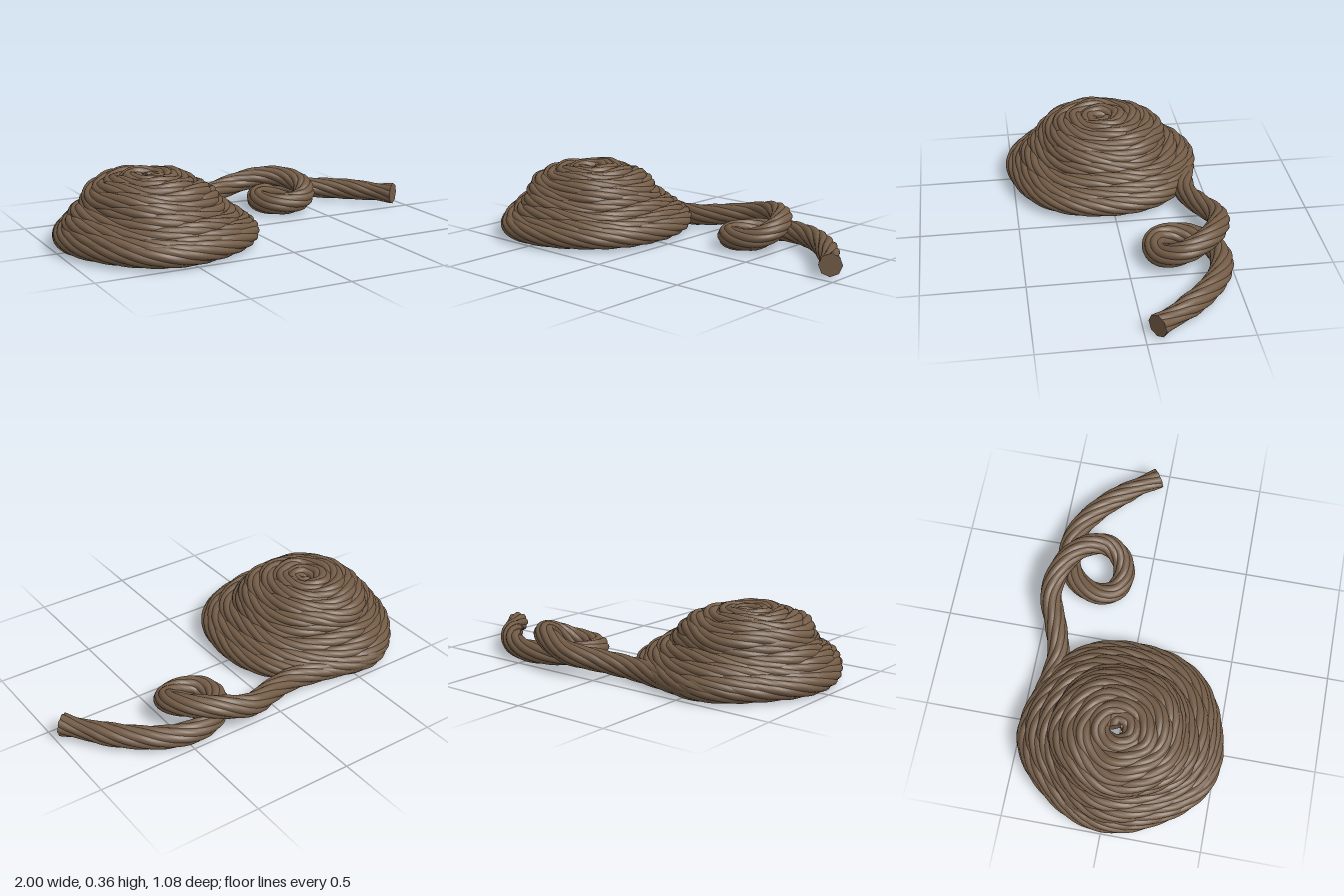
import * as THREE from 'three';
import { mergeGeometries } from 'three/addons/utils/BufferGeometryUtils.js';

const R = 0.057;       // rope radius
const STRANDS = 8;
const PITCH = 0.95;    // rope length per full twist
const STEPS = 1000;

// Rope centre line: a hollow, stepped spiral heap, then a loose tail with one loop
function ropePath() {
  // [radius, height, centre x] of the coil after each turn, from the top centre outwards
  const turns = [[0.03, 0.285, -0.525], [0.095, 0.303, -0.545], [0.165, 0.292, -0.55],
    [0.225, 0.27, -0.54], [0.275, 0.235, -0.535], [0.285, 0.195, -0.53], [0.345, 0.145, -0.52],
    [0.395, 0.108, -0.505], [0.435, 0.068, -0.498], [0.443, 0.057, -0.495]];
  const last = turns.length - 1, perTurn = 20, points = [];
  for (let i = 0; i <= last * perTurn; i++) {
    const t = i / perTurn, k = Math.min(Math.floor(t), last - 1);
    const [radius, height, cx] = turns[k].map((v, n) => THREE.MathUtils.lerp(v, turns[k + 1][n], t - k));
    const angle = 2 * Math.PI * (t - last) - 1.78;
    const loose = Math.min(1, (last - t) / 2) * Math.min(1, t / 3);
    // slightly five-cornered outline, with loosely laid upper turns
    const r = radius * (1 + 0.02 * Math.cos(5 * (angle + 1.83)) + 0.02 * loose * Math.sin(3 * angle + 1.7 * t));
    const y = height + 0.008 * loose * Math.sin(4 * angle + 1.3 * t);
    points.push(new THREE.Vector3(cx + r * Math.cos(angle), y, 0.015 + 1.05 * r * Math.sin(angle)));
  }
  const tail = [
    [-0.36, 0.057, -0.41], [-0.15, 0.062, -0.385], [0, 0.08, -0.425], [0.17, 0.105, -0.485],
    [0.33, 0.14, -0.45], [0.44, 0.143, -0.365], [0.485, 0.115, -0.25], [0.44, 0.075, -0.165],
    [0.35, 0.06, -0.135], [0.26, 0.057, -0.165], [0.228, 0.057, -0.25], [0.27, 0.057, -0.36],
    [0.36, 0.057, -0.425], [0.47, 0.057, -0.447], [0.6, 0.057, -0.41], [0.74, 0.058, -0.31],
    [0.85, 0.059, -0.19], [0.95, 0.06, -0.055]];
  tail.forEach((p) => points.push(new THREE.Vector3(...p)));
  const curve = new THREE.CatmullRomCurve3(points, false, 'centripetal');
  curve.arcLengthDivisions = 3000;
  return curve;
}

// One rounded strand strip winding around the centre line
function strandGeometry(frames, step, strand) {
  const cols = 4, positions = [], indices = [];
  frames.forEach(({ p, up, side }, i) => {
    // narrow neck just before the flared outer end
    const neck = 1 - 0.14 * Math.sin(Math.PI * Math.min(1, (STEPS - i) * step / 0.2));
    for (let j = 0; j <= cols; j++) {
      const u = j / cols - 0.5;
      const a = ((strand + u) / STRANDS + (i * step) / PITCH) * 2 * Math.PI;
      const r = R * neck * (0.87 + 0.13 * Math.cos(Math.PI * u));
      const v = p.clone().addScaledVector(up, r * Math.cos(a)).addScaledVector(side, r * Math.sin(a));
      positions.push(v.x, v.y, v.z);
      if (i > 0 && j > 0) {
        const d = i * (cols + 1) + j, c = d - 1, b = d - cols - 1, e = b - 1;
        indices.push(e, b, c, b, d, c);
      }
    }
  });
  const g = new THREE.BufferGeometry();
  g.setAttribute('position', new THREE.Float32BufferAttribute(positions, 3));
  g.setIndex(indices);
  g.computeVertexNormals();
  return g;
}

export function createModel() {
  const group = new THREE.Group();
  group.name = 'coiledRope';
  const material = new THREE.MeshStandardMaterial({ color: 0x735c47 });

  // Upright frames along the path
  const curve = ropePath();
  const step = curve.getLength() / STEPS;
  const frames = [];
  for (let i = 0; i <= STEPS; i++) {
    const t = curve.getTangentAt(i / STEPS);
    const side = new THREE.Vector3().crossVectors(t, new THREE.Vector3(0, 1, 0)).normalize();
    const up = new THREE.Vector3().crossVectors(side, t);
    frames.push({ p: curve.getPointAt(i / STEPS), t, side, up });
  }

  // Twisted strands
  const strips = [];
  for (let s = 0; s < STRANDS; s++) strips.push(strandGeometry(frames, step, s));
  const rope = new THREE.Mesh(mergeGeometries(strips), material);
  rope.name = 'rope';
  group.add(rope);

  // Flat cut ends
  [['innerEnd', 0, -1], ['outerEnd', STEPS, 1]].forEach(([name, i, dir]) => {
    const f = frames[i], a = (i * step / PITCH) * 2 * Math.PI;
    const cap = new THREE.Mesh(new THREE.CircleGeometry(R, STRANDS), material);
    cap.name = name;
    const x = f.up.clone().multiplyScalar(Math.cos(a)).addScaledVector(f.side, Math.sin(a));
    const z = f.t.clone().multiplyScalar(dir);
    const y = new THREE.Vector3().crossVectors(z, x);
    cap.quaternion.setFromRotationMatrix(new THREE.Matrix4().makeBasis(x, y, z));
    cap.position.copy(f.p);
    group.add(cap);
  });
  return group;
}
